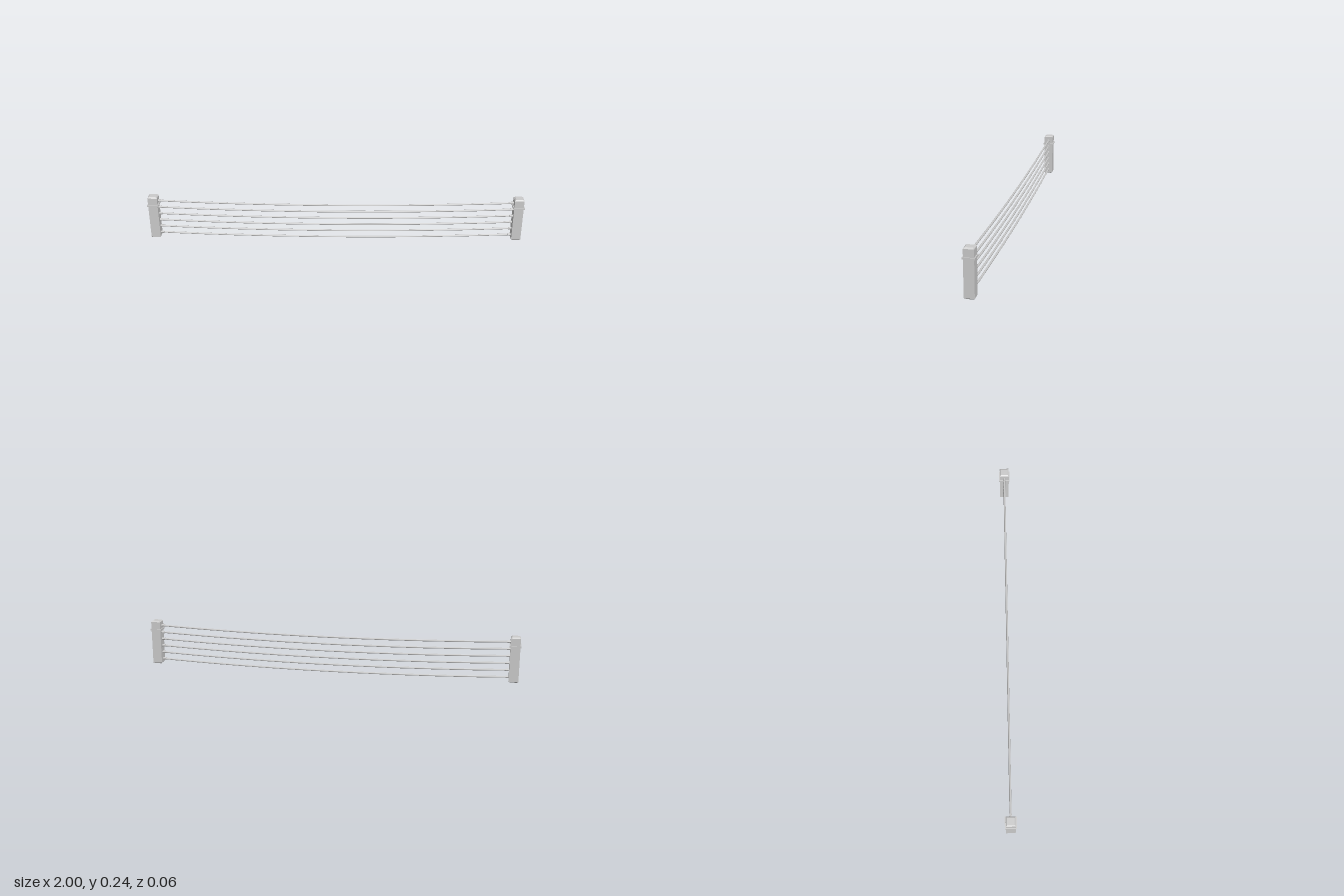
import * as THREE from 'three';

const POST_X = 0.97, HALF = 0.025, INNER = POST_X - HALF;
const WIRES = 6, SPACING = 0.038, LOWEST = 0.0055, SAG = 0.021;

const material = new THREE.MeshStandardMaterial({ color: 0xcccccc, flatShading: true });
const wireMaterial = new THREE.MeshStandardMaterial({ color: 0xcccccc });

function part(name, geometry, x = 0, y = 0, z = 0, mat = material) {
  const mesh = new THREE.Mesh(geometry, mat);
  mesh.name = name;
  mesh.position.set(x, y, z);
  return mesh;
}

// Square post with bevelled ends, as a four-sided lathe
function postGeometry() {
  const profile = [[0, 0.002], [0.018, 0.002], [HALF, 0.008], [HALF, 0.239], [0.018, 0.245], [0, 0.245]]
    .map(([half, y]) => new THREE.Vector2(half * Math.SQRT2, y));
  return new THREE.LatheGeometry(profile, 4, Math.PI / 4);
}

// Wire hanging in a shallow curve between the posts
function wireGeometry(y) {
  const points = [];
  for (let i = 0; i <= 8; i++) {
    const t = i / 4 - 1;
    points.push(new THREE.Vector3(t * INNER, y + SAG * t * t, 0));
  }
  return new THREE.TubeGeometry(new THREE.CatmullRomCurve3(points), 20, 0.005, 8);
}

export function createModel() {
  const group = new THREE.Group();
  group.name = 'wireFence';

  for (const side of [-1, 1]) {
    const label = side > 0 ? 'left' : 'right';
    group.add(part(label + 'Post', postGeometry(), side * POST_X));
    // Thin square band around the post
    group.add(part(label + 'PostBand', new THREE.BoxGeometry(0.06, 0.009, 0.06), side * POST_X, 0.196));
    // Short sockets holding the wire ends
    for (let i = 0; i < WIRES; i++) {
      const socket = new THREE.CylinderGeometry(0.007, 0.007, 0.02, 8).rotateZ(Math.PI / 2);
      group.add(part(label + 'WireSocket', socket, side * (INNER - 0.006), LOWEST + SAG + i * SPACING));
    }
  }

  for (let i = 0; i < WIRES; i++) {
    group.add(part('wire', wireGeometry(LOWEST + i * SPACING), 0, 0, 0, wireMaterial));
  }
  return group;
}
